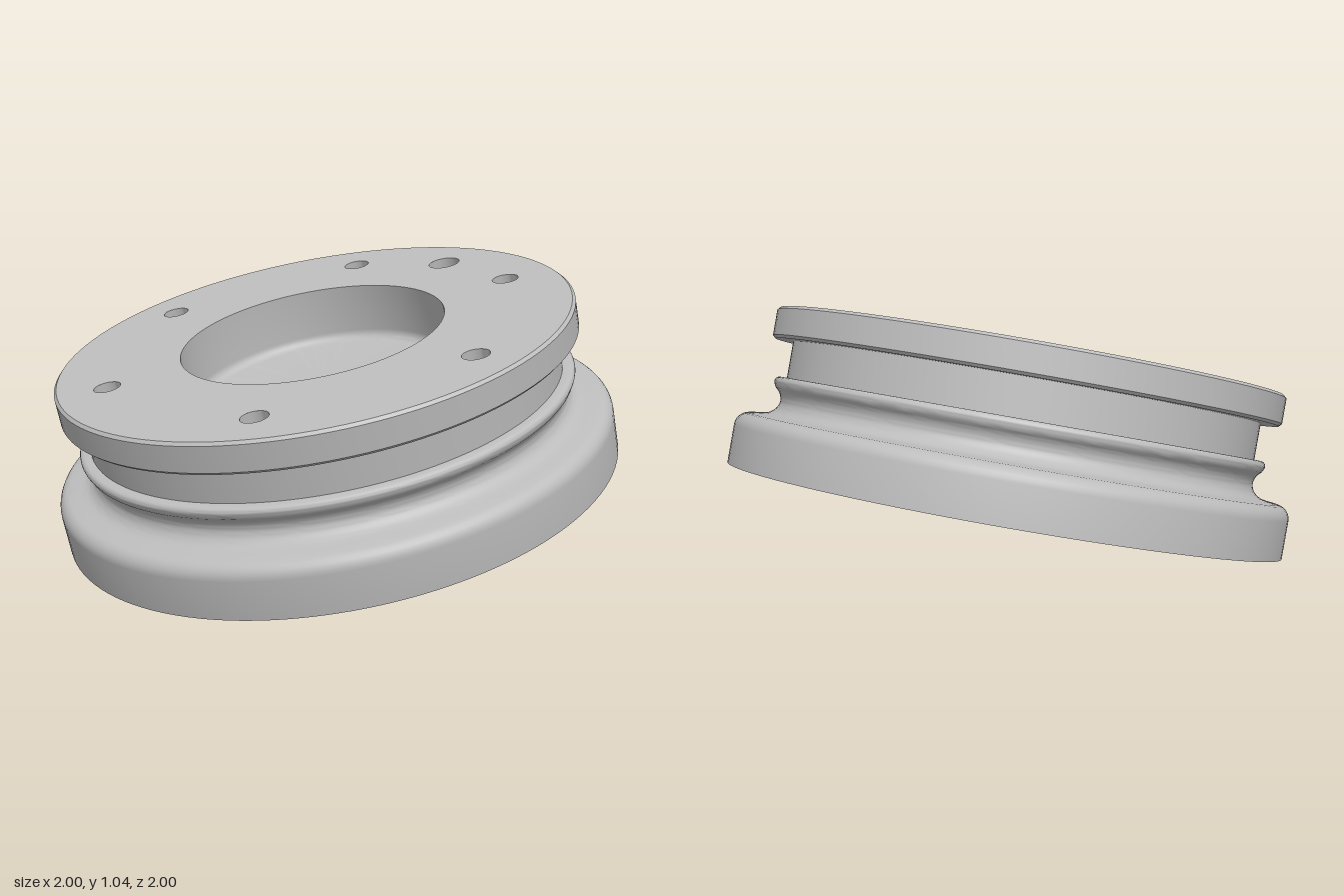
import * as THREE from 'three';
import { toCreasedNormals } from 'three/addons/utils/BufferGeometryUtils.js';

const metal = new THREE.MeshStandardMaterial({ color: 0xbcbcbc });
metal.name = 'plain grey';

const RIM = 0.92, TOP = 0.566, POCKET = 0.47, BOLT_CIRCLE = 0.738;

const v = (x, y) => new THREE.Vector2(x, y);

// Points of a circular arc in the profile plane, angles in degrees
function arc(cx, cy, r, from, to, steps = 6) {
  return Array.from({ length: steps + 1 }, (_, i) => {
    const a = THREE.MathUtils.degToRad(from + ((to - from) * i) / steps);
    return v(cx + r * Math.cos(a), cy + r * Math.sin(a));
  });
}

// Turned surface with sharp edges kept
function turned(name, points, segments = 128) {
  const geometry = toCreasedNormals(new THREE.LatheGeometry(points, segments), 0.6);
  const mesh = new THREE.Mesh(geometry, metal);
  mesh.name = name;
  return mesh;
}

export function createModel() {
  const model = new THREE.Group();
  model.name = 'flangedHub';
  const hub = new THREE.Group();
  hub.name = 'tiltedHub';
  hub.rotation.z = THREE.MathUtils.degToRad(15);
  hub.position.set(0.034, 0.259, 0);
  model.add(hub);

  // Base with rounded shoulder, swept groove and small ridge
  const groove = new THREE.SplineCurve([
    v(0.925, 0.188), v(0.89, 0.196), v(0.866, 0.215), v(0.856, 0.242),
    v(0.864, 0.27), v(0.88, 0.287),
  ]).getPoints(20);
  hub.add(turned('base', [
    v(0, 0), v(1, 0),
    ...arc(0.95, 0.135, 0.05, 0, 80),
    ...groove,
    ...arc(0.87, 0.308, 0.018, -25, 90),
    v(0.847, 0.326),
  ]));

  // Straight neck
  hub.add(turned('neck', [v(0.847, 0.326), v(0.847, 0.456)]));

  // Upper flange edge with small chamfers
  hub.add(turned('flange', [
    v(0.847, 0.456), v(RIM - 0.01, 0.456), v(RIM, 0.466),
    v(RIM, TOP - 0.01), v(RIM - 0.01, TOP),
  ]));

  // Central pocket with a filleted floor
  hub.add(turned('pocket', [
    v(POCKET, TOP),
    ...arc(POCKET - 0.035, TOP - 0.175, 0.035, 0, -90),
    v(0, TOP - 0.21),
  ]));

  // Six bolt holes and one larger locating hole
  const holes = [{ x: BOLT_CIRCLE, z: 0, r: 0.058, depth: 0.19, name: 'locatingHole' }];
  for (let i = 0; i < 6; i++) {
    const a = Math.PI / 6 + (i * Math.PI) / 3;
    holes.push({
      x: BOLT_CIRCLE * Math.cos(a), z: BOLT_CIRCLE * Math.sin(a),
      r: 0.047, depth: 0.22, name: 'boltHole',
    });
  }

  // Flange face, pierced by the pocket and the holes
  const face = new THREE.Shape().absarc(0, 0, RIM - 0.01, 0, Math.PI * 2);
  const pierce = (x, y, r) => face.holes.push(new THREE.Path().absarc(x, y, r, 0, Math.PI * 2, true));
  pierce(0, 0, POCKET);
  holes.forEach((h) => pierce(h.x, -h.z, h.r));
  const faceGeometry = new THREE.ShapeGeometry(face, 64);
  faceGeometry.rotateX(-Math.PI / 2);
  faceGeometry.translate(0, TOP, 0);
  const faceMesh = new THREE.Mesh(faceGeometry, metal);
  faceMesh.name = 'flangeFace';
  hub.add(faceMesh);

  // Hole walls with shallow conical floors
  for (const h of holes) {
    const hole = turned(h.name, [v(h.r, 0), v(h.r, -h.depth), v(0, -h.depth - h.r * 0.5)], 32);
    hole.position.set(h.x, TOP, h.z);
    hub.add(hole);
  }

  return model;
}
